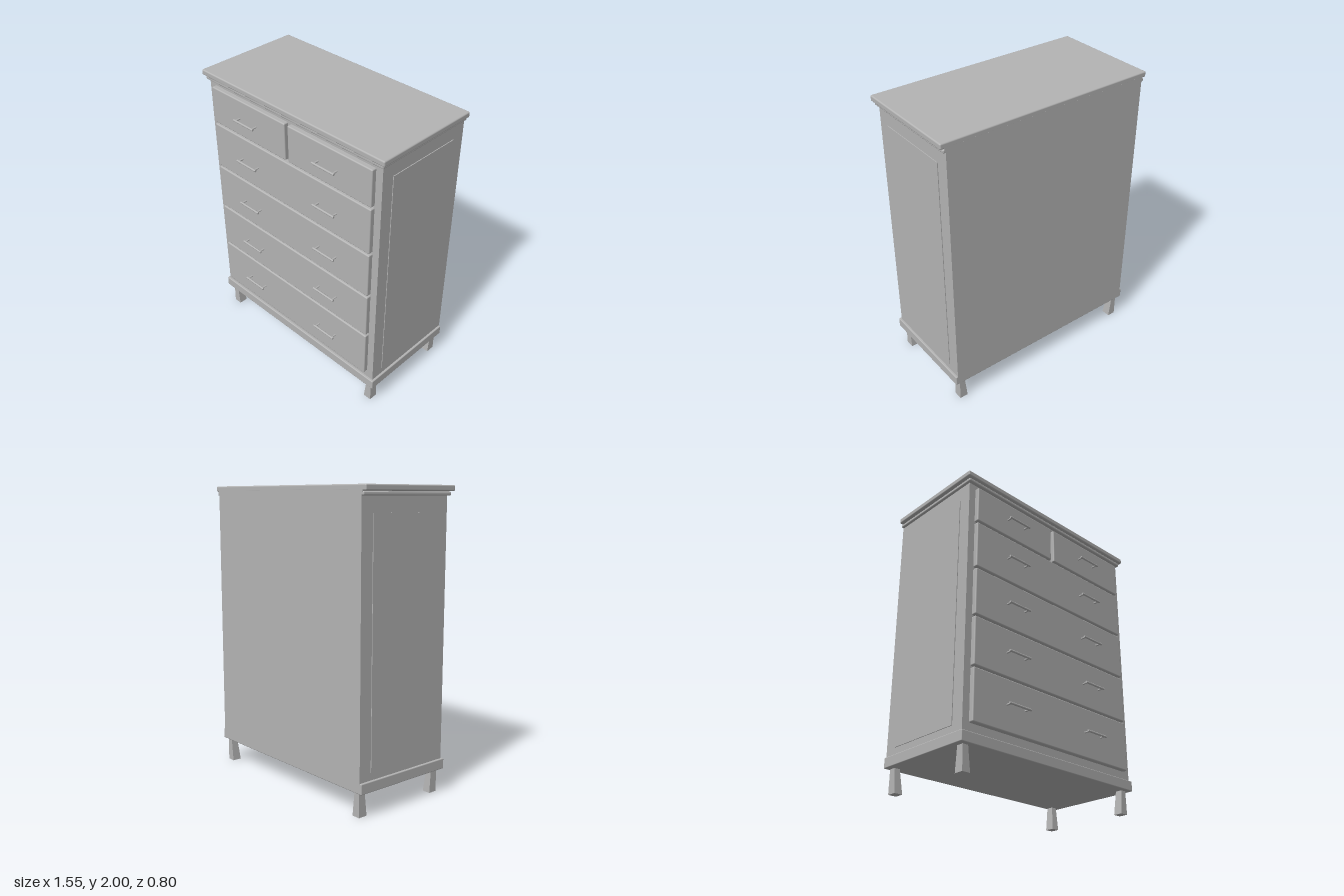
import * as THREE from 'three';
import { RoundedBoxGeometry } from 'three/addons/geometries/RoundedBoxGeometry.js';

export function createModel() {
  const model = new THREE.Group();
  model.name = 'chestOfDrawers';
  const paint = new THREE.MeshStandardMaterial({ color: 0xb3b3b3 });
  paint.name = 'greyPaint';

  const add = (name, geometry, parent = model) => {
    const mesh = new THREE.Mesh(geometry, paint);
    mesh.name = name;
    parent.add(mesh);
    return mesh;
  };

  // Box given by its limits, with rounded edges when r > 0
  const block = (name, [x0, x1], [y0, y1], [z0, z1], r = 0, parent = model) => {
    const size = [x1 - x0, y1 - y0, z1 - z0];
    const geometry = r ? new RoundedBoxGeometry(...size, 3, r) : new THREE.BoxGeometry(...size);
    const mesh = add(name, geometry, parent);
    mesh.position.set((x0 + x1) / 2, (y0 + y1) / 2, (z0 + z1) / 2);
    return mesh;
  };

  // Carcass, plinth and stepped top
  block('body', [-0.74, 0.74], [0.2, 1.95], [-0.4, 0.322]);
  block('plinth', [-0.755, 0.755], [0.16, 0.23], [-0.4, 0.338], 0.006);
  block('topMoulding', [-0.757, 0.757], [1.935, 1.959], [-0.4, 0.344], 0.008);
  block('topNeck', [-0.748, 0.748], [1.945, 1.97], [-0.4, 0.335]);
  block('topSlab', [-0.775, 0.775], [1.962, 2], [-0.4, 0.358], 0.009);

  // Slightly raised side panels
  for (const s of [-1, 1]) {
    const x = s < 0 ? [-0.745, -0.73] : [0.73, 0.745];
    block(s < 0 ? 'rightPanel' : 'leftPanel', x, [0.279, 1.836], [-0.31, 0.234]);
  }

  // Bar handle on two posts
  const addHandle = (x, y) => {
    const handle = new THREE.Group();
    handle.name = 'handle';
    handle.position.set(x, y, 0);
    const bar = add('handleBar', new THREE.CylinderGeometry(0.0075, 0.0075, 0.18, 12), handle);
    bar.rotation.z = Math.PI / 2;
    bar.position.z = 0.3925;
    for (const px of [-0.076, 0.076]) {
      const post = add('handlePost', new THREE.CylinderGeometry(0.006, 0.006, 0.045, 10), handle);
      post.rotation.x = Math.PI / 2;
      post.position.set(px, 0, 0.3675);
    }
    model.add(handle);
  };

  // Drawer rows: [bottom, top, handle height]; the top row is split in two
  const rows = [
    [0.286, 0.627, 0.457],
    [0.639, 0.963, 0.8],
    [0.976, 1.299, 1.138],
    [1.312, 1.637, 1.475],
    [1.651, 1.906, 1.777],
  ];
  rows.forEach(([y0, y1, hy], i) => {
    const spans = i === 4 ? [[-0.69, -0.013], [0.013, 0.69]] : [[-0.69, 0.69]];
    for (const span of spans) block('drawerFront', span, [y0, y1], [0.3, 0.354], 0.008);
    for (const hx of [-0.35, 0.348]) addHandle(hx, hy);
  });

  // Square legs flaring towards the floor; limits at top and bottom
  const addLeg = (s, zTop, zBottom) => {
    const geometry = new THREE.BoxGeometry(1, 1, 1);
    const p = geometry.attributes.position;
    const xTop = s < 0 ? [-0.717, -0.678] : [0.678, 0.717];
    const xBottom = s < 0 ? [-0.718, -0.66] : [0.66, 0.718];
    for (let i = 0; i < p.count; i++) {
      const top = p.getY(i) > 0;
      const x = (top ? xTop : xBottom)[p.getX(i) > 0 ? 1 : 0];
      const z = (top ? zTop : zBottom)[p.getZ(i) > 0 ? 1 : 0];
      p.setXYZ(i, x, top ? 0.165 : 0, z);
    }
    geometry.computeVertexNormals();
    add('leg', geometry);
  };
  for (const s of [-1, 1]) {
    addLeg(s, [0.258, 0.306], [0.246, 0.309]);
    addLeg(s, [-0.384, -0.338], [-0.384, -0.32]);
  }
  return model;
}
